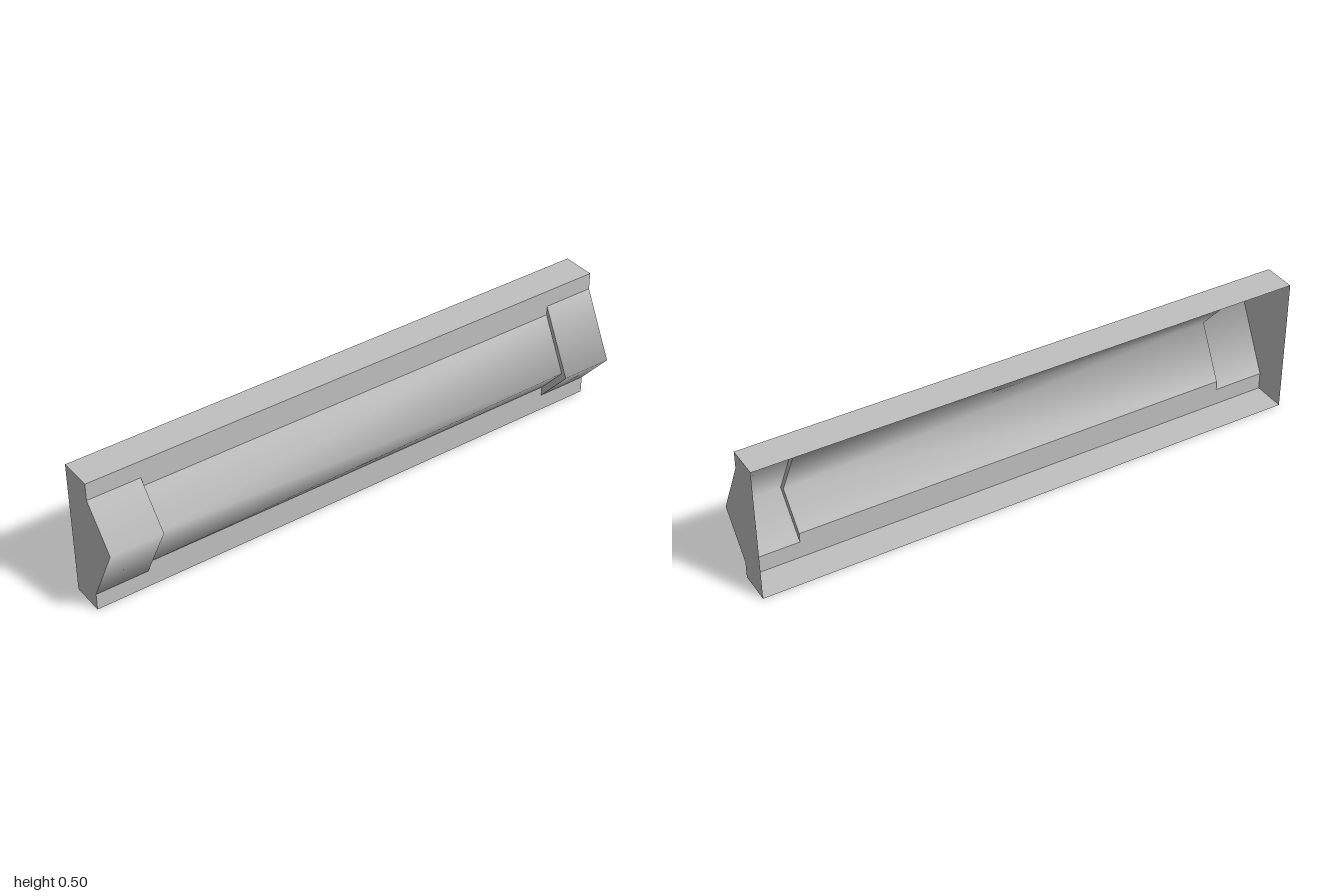
import * as THREE from 'three';

const H = 0.5, BACK = -0.12, END = 1, STEP = 0.81;

// Three-point bulge profile; the ridge sits above centre at the front, below at the rear
const profile = (scale, side) => [
  [0, 0.25 + 0.1875 * scale],
  [0.12 * scale, 0.25 + 0.047 * scale * side],
  [0, 0.25 - 0.1875 * scale],
];
const NORMALS = [[0.1, 0.995, 0], [0.97, 0.25, 0], [0.1, -0.995, 0]];

export function createModel() {
  const group = new THREE.Group();
  const grey = new THREE.MeshStandardMaterial({ color: 0xc0c0c0, side: THREE.DoubleSide });
  grey.name = 'light grey';

  const add = (name, geometry) => {
    const mesh = new THREE.Mesh(geometry, grey);
    mesh.name = name;
    group.add(mesh);
    return mesh;
  };

  // Flat sheet in the xy plane at depth z
  const sheet = (name, points, z) => {
    const shape = new THREE.Shape(points.map(p => new THREE.Vector2(...p)));
    add(name, new THREE.ShapeGeometry(shape)).position.z = z;
  };

  // Smooth skin between a front and a rear profile
  const skin = (name, front, rear, zFront, zRear, sideFront, sideRear) => {
    const pos = [], nor = [];
    const put = (list, i, z, side) => {
      pos.push(list[i][0], list[i][1], z);
      const n = NORMALS[i];
      nor.push(n[0], i === 1 ? n[1] * side : n[1], 0);
    };
    const f = i => put(front, i, zFront, sideFront);
    const r = i => put(rear, i, zRear, sideRear);
    for (let i = 0; i < 2; i++) {
      f(i); f(i + 1); r(i);
      f(i + 1); r(i + 1); r(i);
    }
    const g = new THREE.BufferGeometry();
    g.setAttribute('position', new THREE.Float32BufferAttribute(pos, 3));
    g.setAttribute('normal', new THREE.Float32BufferAttribute(nor, 3));
    add(name, g);
  };

  // Housing: top and bottom walls, open at the back
  for (const [name, y, turn] of [['topWall', H, -1], ['bottomWall', 0, 1]]) {
    const g = new THREE.PlaneGeometry(-BACK, 2 * END).rotateX(turn * Math.PI / 2);
    add(name, g).position.set(BACK / 2, y, 0);
  }

  // Side face strips above and below the bulge, wider along the narrow middle
  const big = profile(1, 1), small = profile(0.815, 1);
  const strip = (name, y0, y1, z0, z1) => {
    const g = new THREE.PlaneGeometry(z1 - z0, y1 - y0).rotateY(Math.PI / 2);
    add(name, g).position.set(0, (y0 + y1) / 2, (z0 + z1) / 2);
  };
  for (const [p, z0, z1] of [[big, -END, -STEP], [small, -STEP, STEP], [big, STEP, END]]) {
    strip('upperFaceStrip', p[0][1], H, z0, z1);
    strip('lowerFaceStrip', 0, p[2][1], z0, z1);
  }

  // End plates, raised end collars and the steps down to the middle
  for (const side of [1, -1]) {
    const outer = profile(1, side), inner = profile(0.815, side);
    sheet('endPlate', [[BACK, 0], [BACK, H], [0, H], ...outer, [0, 0]], side * END);
    sheet('collarStep', [...outer, ...inner.slice().reverse()], side * STEP);
    const zs = side > 0 ? [END, STEP] : [-STEP, -END];
    skin('endCollar', outer, outer, ...zs, side, side);
  }

  // Long middle cover, its ridge drifting from high to low
  skin('middleCover', profile(0.815, 1), profile(0.815, -1), STEP, -STEP, 1, -1);

  return group;
}
